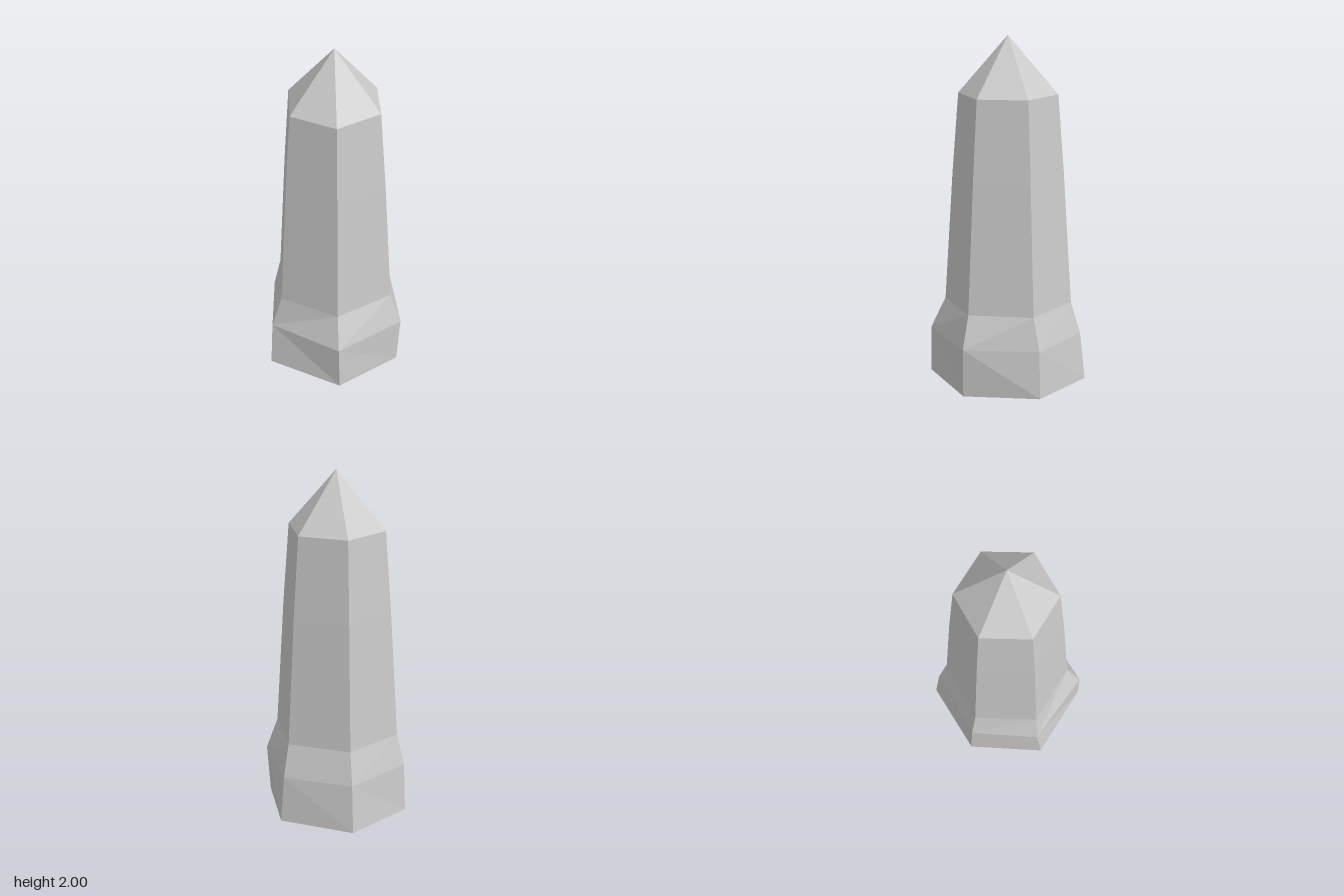
import * as THREE from 'three';

// Regular six-sided ring, corners running right, back right, back left, left, front left, front right
function hexRing(y, r, cx) {
  return Array.from({ length: 6 }, (_, i) => {
    const a = i * Math.PI / 3;
    return [cx + r * Math.cos(a), y, -r * Math.sin(a)];
  });
}

// Skin stacked rings, choosing which diagonal splits each band's quads
function bands(rings, rising) {
  const out = [];
  for (let k = 0; k < rings.length - 1; k++) {
    const lo = rings[k], hi = rings[k + 1];
    for (let i = 0; i < 6; i++) {
      const j = (i + 1) % 6;
      if (rising[k]) out.push(lo[i], lo[j], hi[j], lo[i], hi[j], hi[i]);
      else out.push(lo[i], lo[j], hi[i], lo[j], hi[j], hi[i]);
    }
  }
  return out;
}

// Close a ring to a single point, above or below
function fan(ring, tip, up) {
  return ring.flatMap((p, i) => {
    const q = ring[(i + 1) % 6];
    return up ? [p, q, tip] : [q, p, tip];
  });
}

export function createModel() {
  const group = new THREE.Group();
  group.name = 'crystalObelisk';
  const material = new THREE.MeshStandardMaterial({ color: 0xcccccc, flatShading: true });

  const add = (name, points) => {
    const geometry = new THREE.BufferGeometry();
    geometry.setAttribute('position', new THREE.Float32BufferAttribute(points.flat(), 3));
    geometry.computeVertexNormals();
    const mesh = new THREE.Mesh(geometry, material);
    mesh.name = name;
    group.add(mesh);
  };

  // Slightly irregular hand-cut foot and collar rings
  const foot = [
    [0.41, 0.01, 0], [0.205, 0.02, -0.383], [-0.228, 0.015, -0.392],
    [-0.428, 0.005, -0.005], [-0.23, 0.03, 0.385], [0.228, 0.028, 0.39],
  ];
  const collar = [
    [0.425, 0.29, -0.012], [0.19, 0.29, -0.368], [-0.213, 0.29, -0.365],
    [-0.415, 0.29, 0], [-0.233, 0.285, 0.353], [0.222, 0.29, 0.39],
  ];
  // Regular tapering shaft rings
  const shaftBase = hexRing(0.475, 0.365, -0.005);
  const shaftMiddle = hexRing(1.22, 0.317, -0.006);
  const shaftTop = hexRing(1.675, 0.281, -0.007);

  add('base', [...bands([foot, collar, shaftBase], [false, true]), ...fan(foot, [0, 0, 0], false)]);
  add('shaft', bands([shaftBase, shaftMiddle, shaftTop], [true, true]));
  add('pointedTip', fan(shaftTop, [-0.005, 2, 0], true));
  return group;
}
